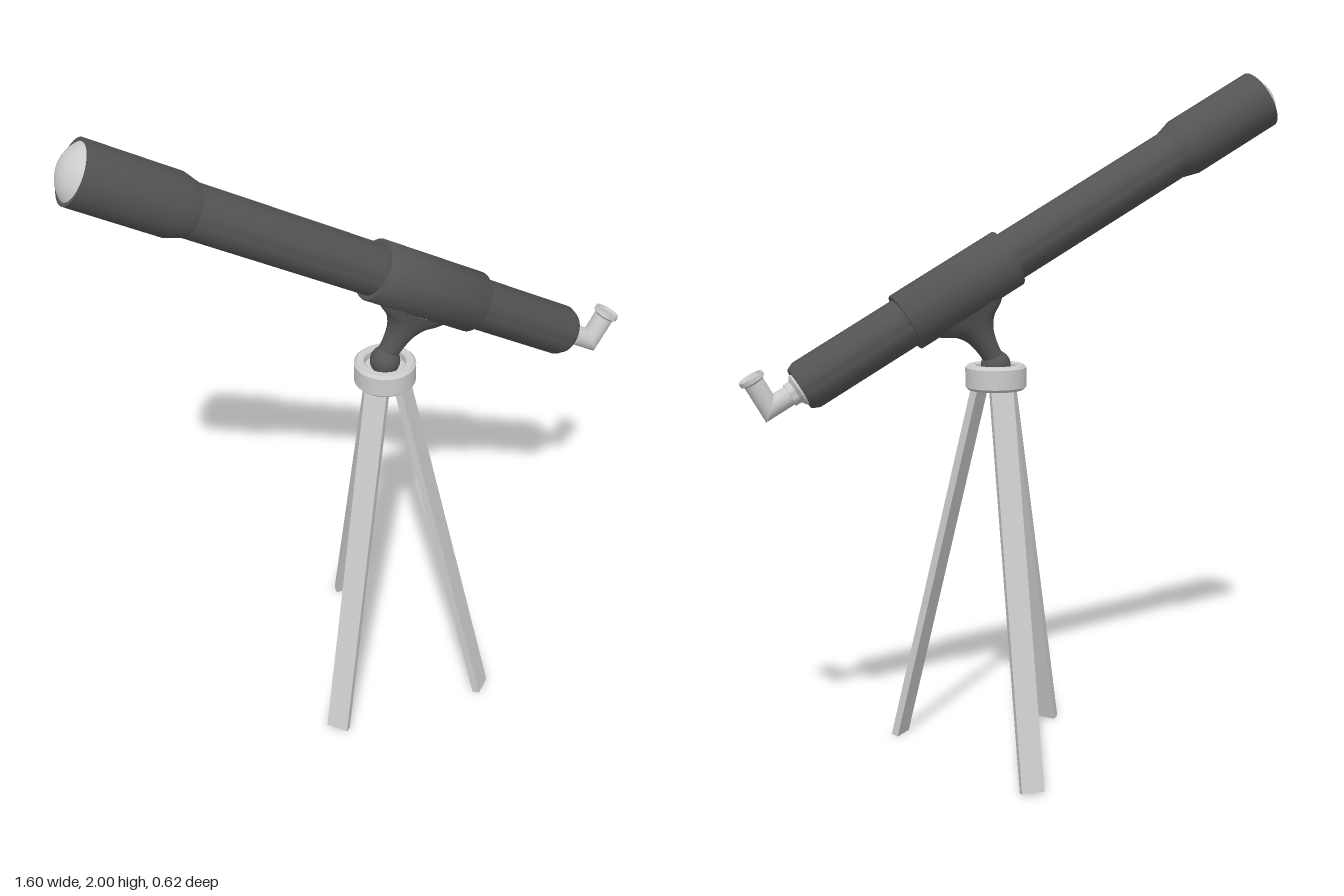
import * as THREE from 'three';
import { toCreasedNormals } from 'three/addons/utils/BufferGeometryUtils.js';

const dark = new THREE.MeshStandardMaterial({ color: 0x555555 });
const grey = new THREE.MeshStandardMaterial({ color: 0xcccccc });

function add(parent, name, geometry, material, x = 0, y = 0, z = 0) {
  const mesh = new THREE.Mesh(geometry, material);
  mesh.name = name;
  mesh.position.set(x, y, z);
  parent.add(mesh);
  return mesh;
}

// Turned part from [radius, height] pairs, listed upwards along the outside
function turned(profile, segments = 48) {
  const points = profile.map(([r, h]) => new THREE.Vector2(r, h));
  return toCreasedNormals(new THREE.LatheGeometry(points, segments), 0.6);
}

// The same, lying along +x
const turnedX = (profile) => turned(profile).rotateZ(-Math.PI / 2);

// Open pipe rising from a 45 degree mitre at the origin
function mitredPipe(radius, length) {
  const g = new THREE.CylinderGeometry(radius, radius, length, 32, 1, true).translate(0, length / 2, 0);
  const p = g.attributes.position;
  for (let i = 0; i < p.count; i++) if (p.getY(i) < length / 2) p.setY(i, -p.getX(i));
  return g;
}

// Optical tube: built along +x from the front rim, y square to it
function createOptics() {
  const optics = new THREE.Group();
  optics.name = 'opticalTube';

  add(optics, 'dewShield', turnedX([
    [0, 0.004], [0.077, 0.004], [0.077, 0], [0.087, 0], [0.087, 0.275], [0.073, 0.325],
  ]), dark);
  add(optics, 'mainTube', turnedX([
    [0.073, 0.3], [0.073, 1.575], [0.063, 1.597], [0.05, 1.597], [0.05, 1.59], [0, 1.59],
  ]), dark);
  add(optics, 'sleeve', turnedX([
    [0.072, 0.897], [0.085, 0.897], [0.087, 0.9], [0.087, 1.244], [0.085, 1.247], [0.072, 1.247],
  ]), dark);

  // Domed front lens
  const lensRadius = 0.102;
  const lens = new THREE.SphereGeometry(lensRadius, 40, 12, 0, Math.PI * 2, 0, Math.asin(0.077 / lensRadius));
  add(optics, 'frontLens', lens.rotateZ(Math.PI / 2), grey, 0.067);

  // Focuser and right-angle eyepiece
  add(optics, 'focuser', turnedX([[0.047, 1.58], [0.047, 1.603], [0.034, 1.612], [0.034, 1.63], [0.028, 1.63]]), grey);
  add(optics, 'elbowInlet', mitredPipe(0.029, 0.11).rotateY(Math.PI).rotateZ(Math.PI / 2), grey, 1.695);
  add(optics, 'elbowOutlet', mitredPipe(0.029, 0.09), grey, 1.695);
  add(optics, 'eyepiece', turned([
    [0.029, 0.084], [0.037, 0.09], [0.037, 0.1025], [0.031, 0.1025], [0.028, 0.097], [0, 0.097],
  ], 32), grey, 1.695);

  // Flared neck under the sleeve, narrower across than along
  const flare = [[0.03, -0.245], [0.03, -0.205], [0.037, -0.165], [0.047, -0.14], [0.067, -0.115], [0.1, -0.095], [0.125, -0.07]];
  const curve = new THREE.SplineCurve(flare.map(([r, h]) => new THREE.Vector2(r, h)));
  const neck = new THREE.LatheGeometry(curve.getPoints(24), 40);
  const p = neck.attributes.position;
  for (let i = 0; i < p.count; i++) {
    const t = (p.getY(i) + 0.245) / 0.175;
    const r = Math.hypot(p.getX(i), p.getZ(i));
    p.setZ(i, p.getZ(i) / r * (0.03 + 0.03 * t * t));
  }
  neck.computeVertexNormals();
  add(optics, 'mountNeck', neck, dark, 1.078);

  optics.rotation.z = -Math.PI / 6;
  optics.position.set(-0.76, 1.925, 0.033);
  return optics;
}

// Tripod: collar, ball joint and three flat legs
function createTripod() {
  const tripod = new THREE.Group();
  tripod.name = 'tripod';

  add(tripod, 'collar', turned([
    [0, 1.125], [0.062, 1.125], [0.062, 1.1], [0.08, 1.1], [0.088, 1.108], [0.088, 1.164],
    [0.08, 1.172], [0.062, 1.172], [0.058, 1.168], [0.058, 1.15], [0, 1.15],
  ]), grey);
  add(tripod, 'ballJoint', new THREE.SphereGeometry(0.043, 32, 20), dark, 0, 1.17, 0);

  const topRadius = 0.046, footRadius = 0.338, topY = 1.13, footY = 0.003;
  const run = footRadius - topRadius, rise = topY - footY;
  [Math.PI, Math.PI / 4, -Math.PI / 4].forEach((angle, i) => {
    const pivot = new THREE.Group();
    pivot.name = ['backLeg', 'leftLeg', 'rightLeg'][i];
    pivot.rotation.y = angle;
    const leg = add(pivot, 'legBar', new THREE.BoxGeometry(0.066, Math.hypot(run, rise), 0.022), grey,
      0, (topY + footY) / 2, (topRadius + footRadius) / 2);
    leg.rotation.x = -Math.atan2(run, rise);
    tripod.add(pivot);
  });

  tripod.position.set(0.053, 0, 0.036);
  return tripod;
}

export function createModel() {
  const model = new THREE.Group();
  model.name = 'telescope';
  model.add(createOptics(), createTripod());
  return model;
}
